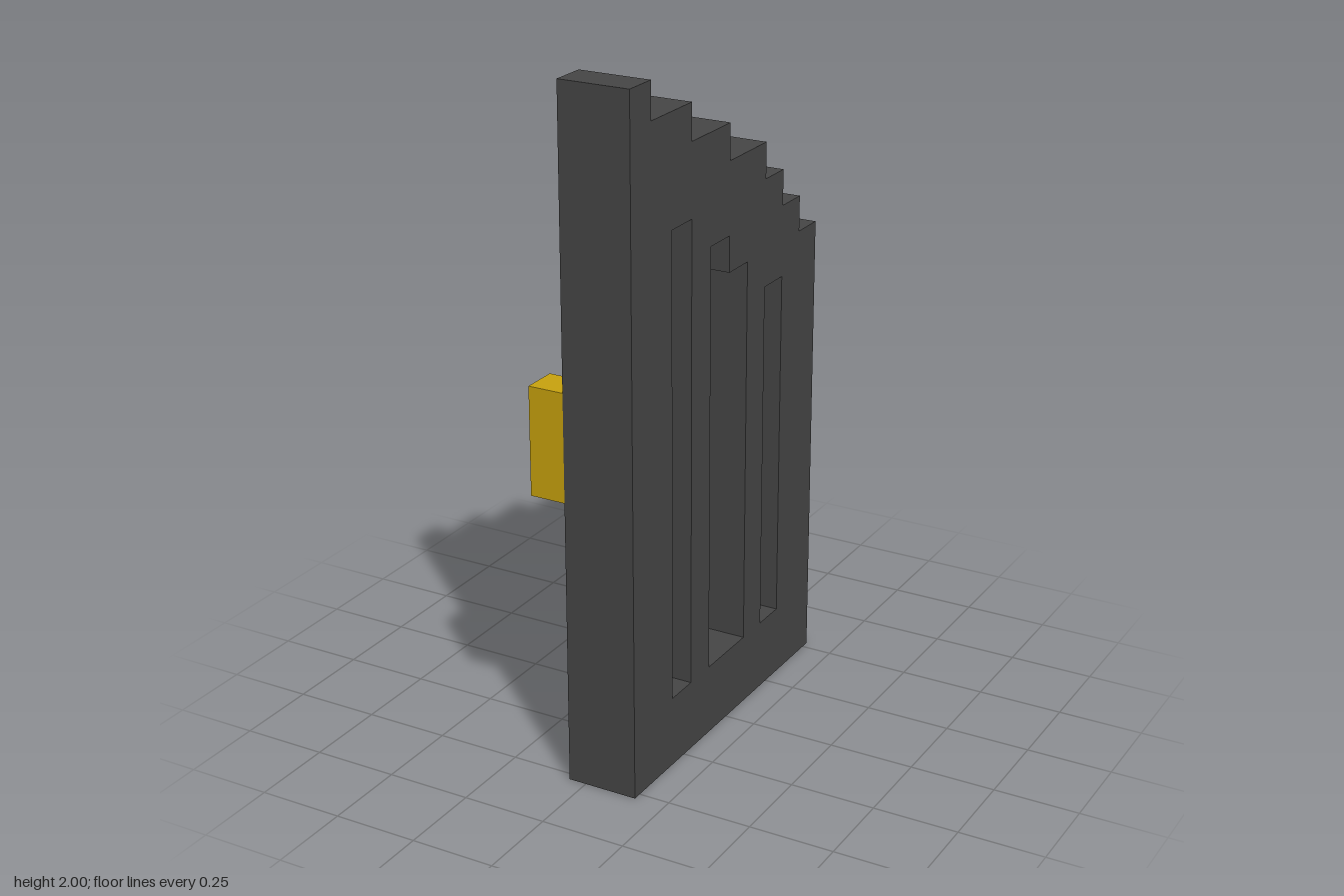
import * as THREE from 'three';

const U = 2 / 19; // grid unit: the gate is 19 units tall, 10 deep, 2 thick

const iron = new THREE.MeshStandardMaterial({ color: 0x464646 });
iron.name = 'dark iron';
const gold = new THREE.MeshStandardMaterial({ color: 0xc9a30e });
gold.name = 'gold';

// Points in grid units (z, y), scaled to model size
const scaled = (points) => points.map(([z, y]) => new THREE.Vector2(z * U, y * U));

export function createModel() {
  const model = new THREE.Group();
  model.name = 'gate';

  // Stepped outline: each step is [z where it ends, height], from front to back
  const steps = [[4, 19], [2, 18], [0, 17], [-2, 16], [-3, 15], [-4, 14], [-5, 13]];
  const outline = [[-5, 0], [5, 0]];
  let z = 5;
  for (const [end, height] of steps) {
    outline.push([z, height], [end, height]);
    z = end;
  }
  const shape = new THREE.Shape(scaled(outline));

  // Openings between the bars
  const openings = [
    [[2, 2], [2, 15], [3, 15], [3, 2]],
    [[-1, 2], [-1, 13], [0, 13], [0, 14], [1, 14], [1, 2]],
    [[-3, 2], [-3, 12], [-2, 12], [-2, 2]],
  ];
  for (const opening of openings) shape.holes.push(new THREE.Path(scaled(opening)));

  // Gate panel, turned so the outline lies in the z-y plane
  const panelGeometry = new THREE.ExtrudeGeometry(shape, { depth: 2 * U, bevelEnabled: false });
  panelGeometry.rotateY(-Math.PI / 2).translate(1.5 * U, 0, 0);
  const panel = new THREE.Mesh(panelGeometry, iron);
  panel.name = 'gatePanel';

  // Handle on the right side, at the front edge
  const handle = new THREE.Mesh(new THREE.BoxGeometry(U, 3 * U, U), gold);
  handle.name = 'handle';
  handle.position.set(-U, 9.5 * U, 4.5 * U);

  model.add(panel, handle);
  return model;
}
